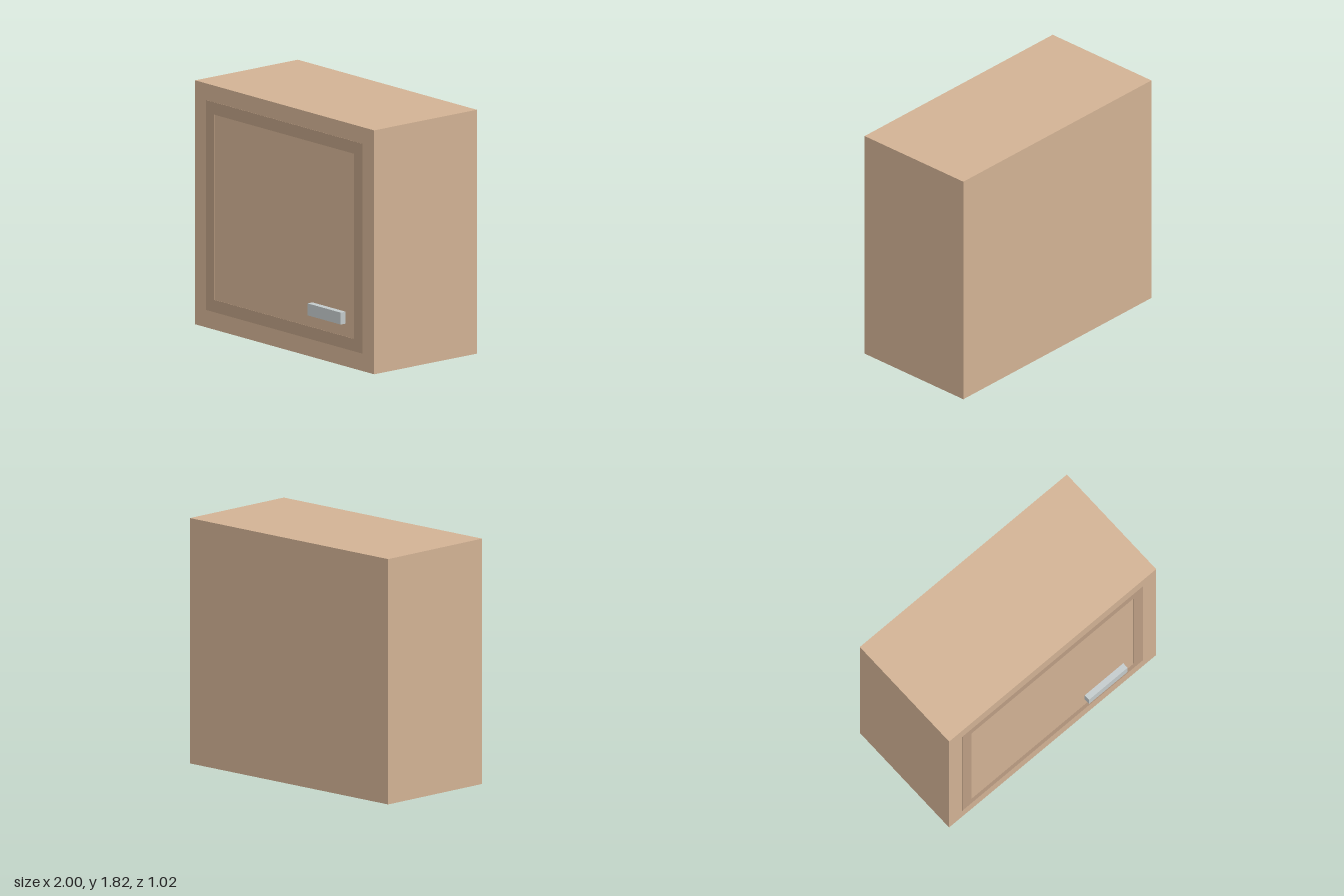
import * as THREE from 'three';

const paint = (color) => new THREE.MeshStandardMaterial({ color });

// Box given by its minimum and maximum corners
function box(name, min, max, material) {
  const [w, h, d] = max.map((v, i) => v - min[i]);
  const mesh = new THREE.Mesh(new THREE.BoxGeometry(w, h, d), material);
  mesh.position.set(...max.map((v, i) => (v + min[i]) / 2));
  mesh.name = name;
  return mesh;
}

// Traces a rectangle into a Shape or Path
function rectangle(path, x0, y0, x1, y1) {
  path.moveTo(x0, y0);
  path.lineTo(x1, y0);
  path.lineTo(x1, y1);
  path.lineTo(x0, y1);
  path.closePath();
  return path;
}

export function createModel() {
  const group = new THREE.Group();
  group.name = 'wallCabinet';
  const frontZ = 0.463;

  // Closed cabinet body
  group.add(box('cabinetBody', [-1, 0, -0.51], [1, 1.815, frontZ], paint(0xd2b294)));

  // Darker border inlaid around the door panel, barely proud of the front
  const border = rectangle(new THREE.Shape(), -0.875, 0.13, 0.872, 1.692);
  border.holes.push(rectangle(new THREE.Path(), -0.785, 0.222, 0.778, 1.6));
  const doorBorder = new THREE.Mesh(
    new THREE.ExtrudeGeometry(border, { depth: 0.004, bevelEnabled: false }),
    paint(0xbc9e84)
  );
  doorBorder.position.z = frontZ - 0.002;
  doorBorder.name = 'doorBorder';
  group.add(doorBorder);

  // Bar handle at the lower corner of the door
  group.add(box('handle', [0.31, 0.318, frontZ - 0.005], [0.682, 0.407, 0.51], paint(0xc3cacb)));

  return group;
}
